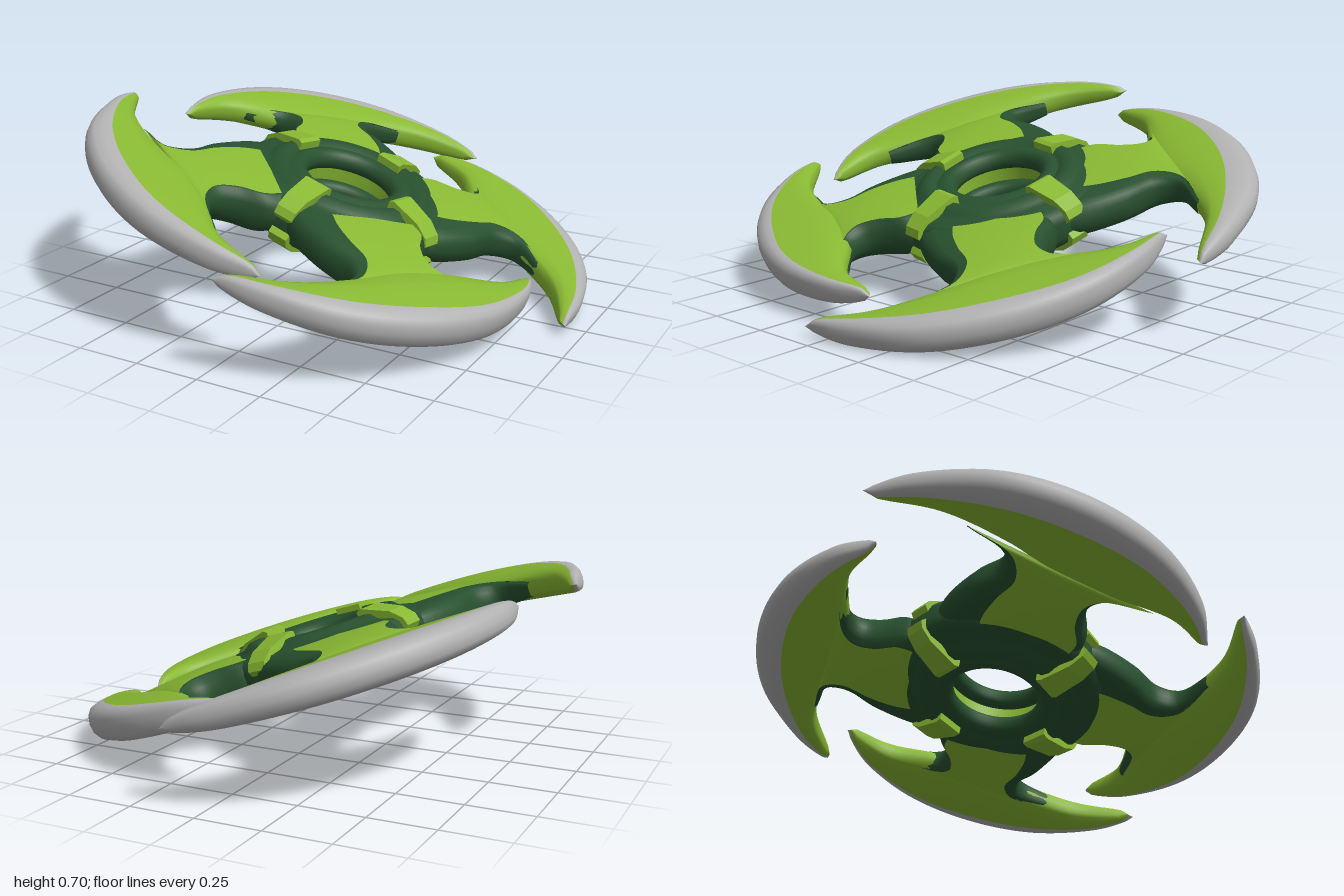
import * as THREE from 'three';

const green = new THREE.MeshStandardMaterial({ color: 0x89b933 });
green.name = 'leaf green';
const dark = new THREE.MeshStandardMaterial({ color: 0x28502f });
dark.name = 'dark green';
const steel = new THREE.MeshStandardMaterial({ color: 0xb2b2b2 });
steel.name = 'steel grey';

const rad = THREE.MathUtils.degToRad;

// Smooth curve through [radius, angle in degrees] points around the hub
function polarCurve(points, spread = 1) {
  return new THREE.CatmullRomCurve3(points.map(([r, a]) =>
    new THREE.Vector3(r * Math.cos(rad(a * spread)), 0, r * Math.sin(rad(a * spread)))));
}

// Skin a rounded slab, mirrored above and below, over a row of curves.
// section: [position across the curves, relative height, material index of the next strip]
function slab(curves, section, height, rows) {
  const last = section.length - 1;
  const under = section.slice(1, last).reverse().map(([k, h]) => [k, -h]);
  const loop = [...section, ...under];
  const n = loop.length;
  const pos = [];
  for (let i = 0; i <= rows; i++) {
    const s = i / rows;
    const pts = curves.map(c => c.getPoint(s));
    for (const [k, h] of loop) {
      const a = Math.min(Math.floor(k), curves.length - 2);
      const p = pts[a].clone().lerp(pts[a + 1], k - a);
      pos.push(p.x, h * height(s), p.z);
    }
  }
  const index = [[], []];
  for (let j = 0; j < n; j++) {
    const strip = j < last ? j : 2 * last - j - 1;
    const next = (j + 1) % n;
    for (let i = 0; i < rows; i++) {
      const a = i * n + j, b = a + n, c = i * n + next, d = c + n;
      index[section[strip][2]].push(a, b, c, c, b, d);
    }
  }
  const geo = new THREE.BufferGeometry();
  geo.setAttribute('position', new THREE.Float32BufferAttribute(pos, 3));
  geo.setIndex(index.flat());
  geo.addGroup(0, index[0].length, 0);
  geo.addGroup(index[0].length, index[1].length, 1);
  geo.computeVertexNormals();
  return geo;
}

// Crescent blade: inner edge, grind line and outer cutting edge.
// spread scales its arc, grindShift narrows the steel border
function bladeGeometry(spread, grindShift) {
  const g = grindShift;
  const inner = polarCurve([[.78, -48], [.735, -34], [.62, -14.8], [.62, 3], [.72, 18.5], [.86, 33.5], [.97, 48]], spread);
  const grind = polarCurve([[.79, -48.8], [.81 + g / 2, -35], [.83 + g, -16], [.85 + g, 2], [.885 + g, 19],
    [.94 + g / 2, 36], [.985, 48.5]], spread);
  const outer = polarCurve([[.80, -49], [.855, -36], [.915, -18], [.96, 1], [.995, 20], [1, 38], [1, 49]], spread);
  const section = [[0, 0, 0], [.04, .4, 0], [.14, .7, 0], [.5, .95, 0], [1, 1, 1],
    [1.4, .94, 1], [1.75, .78, 1], [1.94, .45, 1], [2, 0, 1]];
  return slab([inner, grind, outer], section,
    s => .068 * Math.pow(Math.max(Math.sin(Math.PI * s), 0), .4), 40);
}

// Swept arm joining hub and blade: dark rounded flanks that thin out
// along the blade's inner edge, green face plate
function armGeometry(spread) {
  const longEdge = polarCurve([[.36, 64], [.43, 52], [.537, 31.5], [.615, 20], [.70, 18.8], [.80, 28]], spread);
  const longPlate = polarCurve([[.36, 32], [.43, 27], [.52, 20], [.61, 14], [.71, 16], [.81, 27.5]], spread);
  const shortPlate = polarCurve([[.36, -25], [.43, -22], [.50, -14], [.58, -11.5], [.64, -15], [.725, -29.5]], spread);
  const shortEdge = polarCurve([[.36, -36], [.43, -28], [.50, -18.5], [.56, -15.2], [.62, -17], [.71, -30]], spread);
  const section = [[0, 0, 0], [.05, .4, 0], [.2, .7, 0], [.5, .88, 0], [.96, .9, 0], [1, 1, 1],
    [1.5, 1.06, 1], [2, 1, 0], [2.06, .9, 0], [2.5, .75, 0], [2.85, .45, 0], [3, 0, 0]];
  return slab([longEdge, longPlate, shortPlate, shortEdge], section,
    s => .08 - .05 * s * s * s, 24);
}

// Sloping clamp on one face of the hub, narrower toward the rim
function clampGeometry() {
  const outline = [[.235, .08], [.42, .02], [.437, .04], [.425, .07], [.375, .105], [.255, .137], [.235, .13]];
  const shape = new THREE.Shape(outline.map(([r, y]) => new THREE.Vector2(r, y)));
  const geo = new THREE.ExtrudeGeometry(shape, { depth: .11, bevelEnabled: false });
  geo.translate(0, 0, -.055);
  const p = geo.attributes.position;
  for (let i = 0; i < p.count; i++) {
    p.setZ(i, p.getZ(i) * THREE.MathUtils.mapLinear(p.getX(i), .235, .437, 1, .72));
  }
  geo.computeVertexNormals();
  return geo;
}

// Stepped ring with a rounded lip around the hole, symmetric above and below
function hubGeometry() {
  const top = [[.42, .03], [.41, .06], [.385, .078], [.335, .085], [.315, .095], [.295, .112], [.265, .114],
    [.245, .1], [.235, .1], [.22, .108], [.2, .11], [.18, .1], [.167, .078], [.167, .055], [.178, .038],
    [.195, .03], [.215, .03]];
  const ring = [...top.map(([r, y]) => [r, -y]).reverse(), ...top];
  return new THREE.LatheGeometry(ring.map(([r, y]) => new THREE.Vector2(r, y)), 64);
}

export function createModel() {
  const model = new THREE.Group();
  model.name = 'throwingStar';
  const star = new THREE.Group();
  star.name = 'tiltedStar';
  model.add(star);

  const add = (name, geo, material, angle = 0, y = 0, z = 0) => {
    const mesh = new THREE.Mesh(geo, material);
    mesh.name = name;
    mesh.rotation.y = -rad(angle);
    mesh.position.set(0, y, z);
    star.add(mesh);
  };

  add('hub', hubGeometry(), dark);
  // Green lining recessed inside the hole
  const lining = [new THREE.Vector2(.212, .034), new THREE.Vector2(.212, -.034)];
  add('holeLining', new THREE.LatheGeometry(lining, 64), green);

  // Four slightly uneven blades with their arms: angle, spread, grind shift, y, z
  [
    [128.3, 1, .02, .015, .035],
    [40.9, .92, .04, .03, 0],
    [-42.8, .93, .035, 0, .02],
    [-130.5, 1, -.005, 0, 0]
  ].forEach(([angle, spread, grindShift, y, z], i) => {
    add('blade' + (i + 1), bladeGeometry(spread, grindShift), [green, steel], angle, y, z);
    add('arm' + (i + 1), armGeometry(spread), [dark, green], angle, y / 2, z / 2);
  });

  // Four clamps on each face of the hub
  const upper = clampGeometry();
  const lower = upper.clone().rotateX(Math.PI);
  [92.5, 10.5, -80, -167.5].forEach((angle, i) => {
    add('upperClamp' + (i + 1), upper, green, angle);
    add('lowerClamp' + (i + 1), lower, green, angle);
  });

  // Lean the star, then rest it on the ground and centre it
  star.rotation.set(-.02, 0, -rad(18));
  model.updateMatrixWorld(true);
  const box = new THREE.Box3().setFromObject(model, true);
  const mid = box.getCenter(new THREE.Vector3());
  star.position.set(-mid.x, -box.min.y, -mid.z);
  return model;
}
